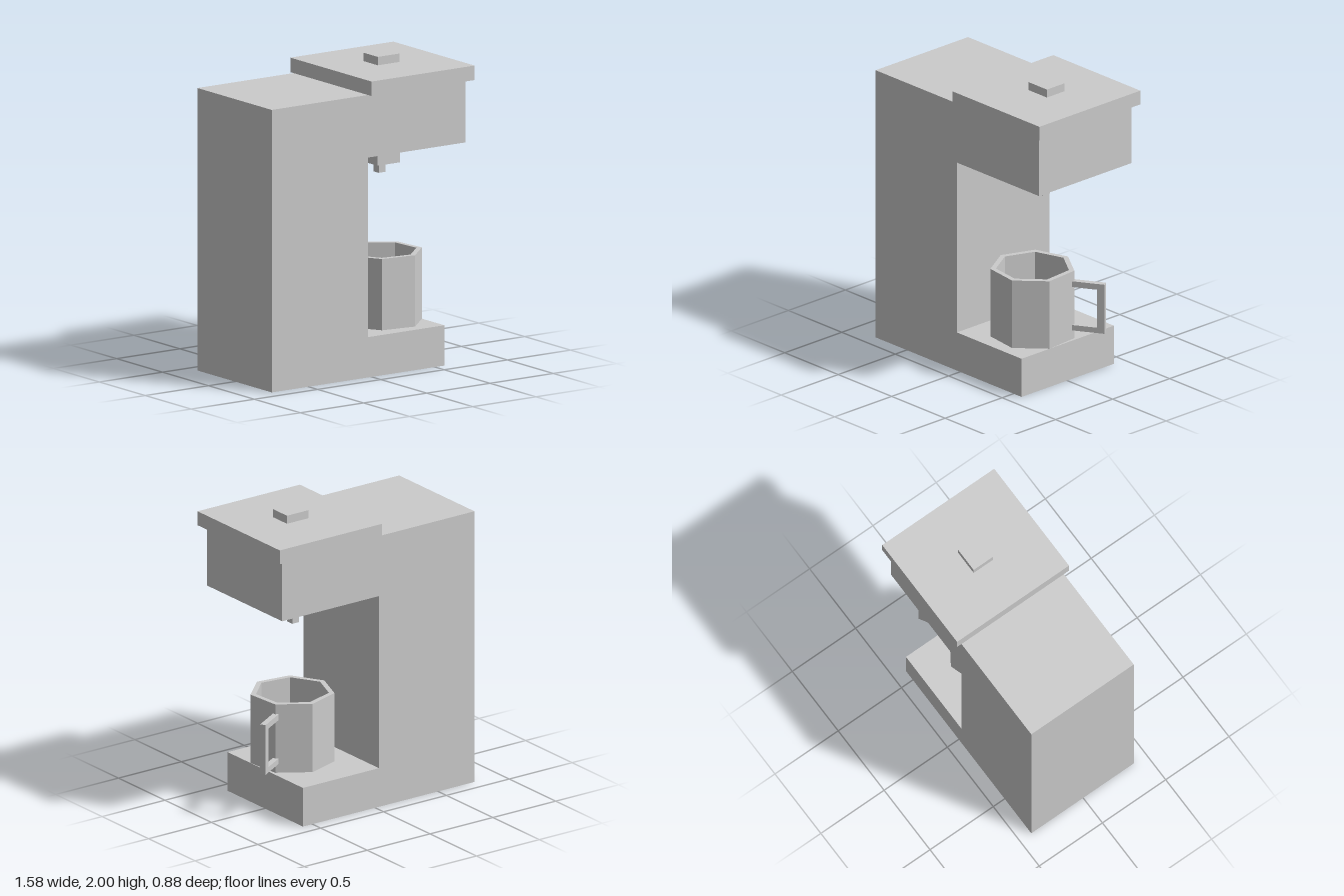
import * as THREE from 'three';

const material = new THREE.MeshStandardMaterial({ color: 0xcccccc, flatShading: true });

function addMesh(parent, name, geometry) {
  const mesh = new THREE.Mesh(geometry, material);
  mesh.name = name;
  parent.add(mesh);
  return mesh;
}

// Box given by its lower and upper limits on each axis
function addBox(parent, name, [x0, x1], [y0, y1], [z0, z1]) {
  const mesh = addMesh(parent, name, new THREE.BoxGeometry(x1 - x0, y1 - y0, z1 - z0));
  mesh.position.set((x0 + x1) / 2, (y0 + y1) / 2, (z0 + z1) / 2);
  return mesh;
}

// Outline extruded from z0 to z1
function extrude(points, z0, z1) {
  const shape = new THREE.Shape(points.map(([x, y]) => new THREE.Vector2(x, y)));
  return new THREE.ExtrudeGeometry(shape, { depth: z1 - z0, bevelEnabled: false }).translate(0, 0, z0);
}

function createMug() {
  const mug = new THREE.Group();
  mug.name = 'mug';
  const sides = 7, radius = 0.276, inner = 0.24, height = 0.467, floor = 0.035;

  // Seven-sided cup with a hollow inside
  const profile = [[0, 0], [radius, 0], [radius, height], [inner, height], [inner, floor], [0, floor]]
    .map(([r, y]) => new THREE.Vector2(r, y));
  addMesh(mug, 'cup', new THREE.LatheGeometry(profile, sides, THREE.MathUtils.degToRad(17.9)));

  // Square handle growing from one corner of the cup
  const handle = addMesh(mug, 'mugHandle', extrude([
    [0.255, 0.06], [0.482, 0.06], [0.482, 0.4], [0.255, 0.4],
    [0.255, 0.36], [0.434, 0.36], [0.434, 0.097], [0.255, 0.097],
  ], -0.019, 0.019));
  handle.rotation.y = THREE.MathUtils.degToRad(30.8);

  mug.position.set(0.316, 0.264, 0.058);
  return mug;
}

export function createModel() {
  const model = new THREE.Group();
  model.name = 'coffeeMachine';

  // C-shaped housing: base, column and overhanging arm
  addMesh(model, 'housing', extrude([
    [-0.79, 0], [0.575, 0], [0.575, 0.264], [-0.03, 0.264],
    [-0.03, 1.44], [0.74, 1.44], [0.74, 1.85], [-0.79, 1.85],
  ], -0.41, 0.4));

  // Lid and its knob
  addBox(model, 'lid', [-0.03, 0.785], [1.85, 1.945], [-0.445, 0.44]);
  addBox(model, 'lidKnob', [0.288, 0.46], [1.945, 2], [-0.083, 0.07]);

  // Brewing outlet and the pipe feeding it from the column
  addBox(model, 'outlet', [0.285, 0.46], [1.288, 1.44], [-0.08, 0.073]);
  addBox(model, 'outletTip', [0.327, 0.38], [1.228, 1.288], [-0.032, 0.027]);
  addBox(model, 'feedPipe', [-0.03, 0.285], [1.39, 1.44], [-0.032, 0.025]);

  model.add(createMug());
  return model;
}
